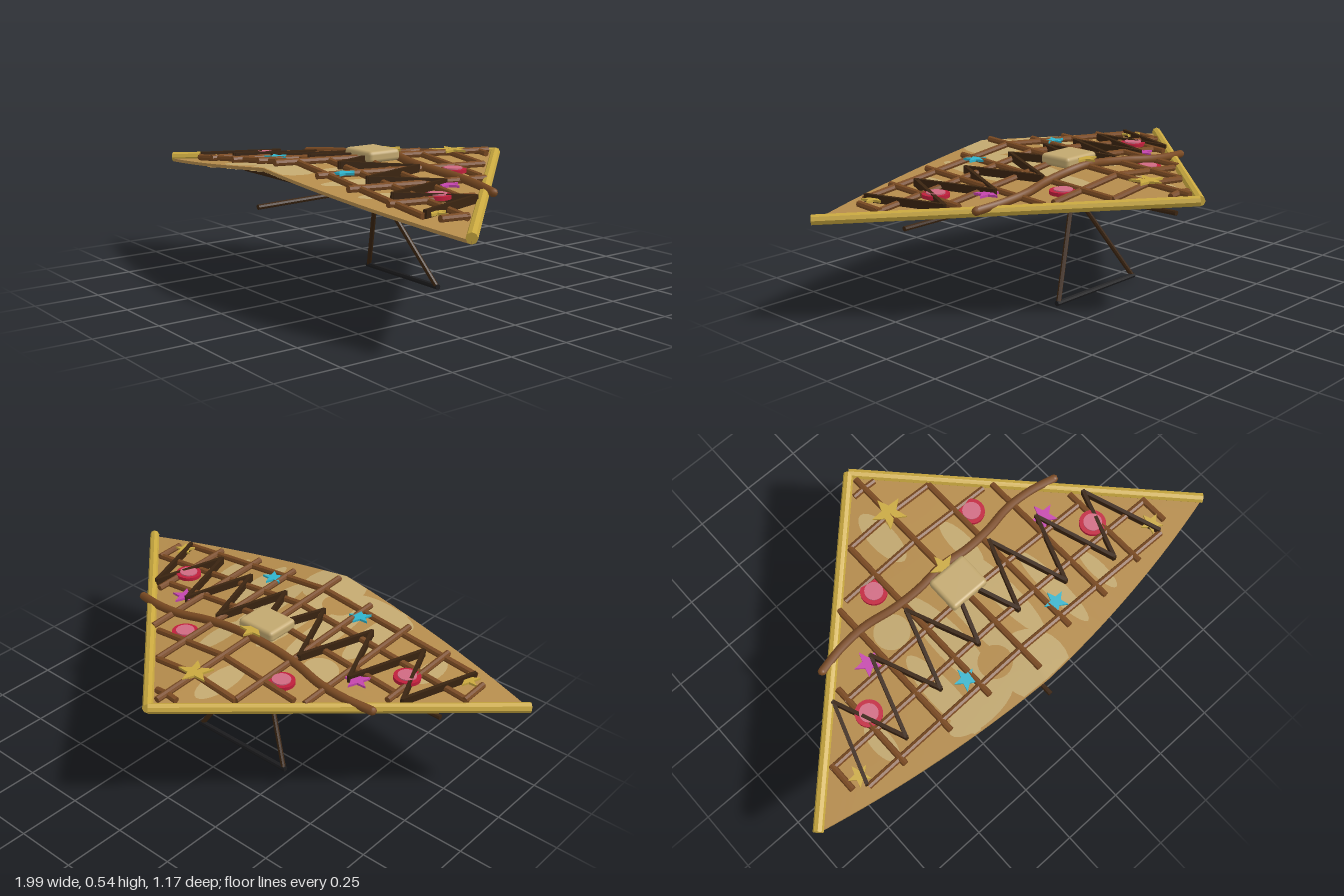
import * as THREE from 'three';
import { toCreasedNormals } from 'three/addons/utils/BufferGeometryUtils.js';
import { RoundedBoxGeometry } from 'three/addons/geometries/RoundedBoxGeometry.js';

const paint = (name, color, extra = {}) => {
  const m = new THREE.MeshStandardMaterial({ color, ...extra });
  m.name = name;
  return m;
};

// Sail outline: nose, and trailing edge from centre (t = 0) to tip (t = 1)
const NOSE_Z = -0.57, NOSE_Y = 0.46, SPAN = 0.98;
const edgeZ = t => 0.56 - 0.05 * t - 0.1 * t * t;
const sailPoint = (t, s) => {
  const a = Math.abs(t);
  return new THREE.Vector3(SPAN * t * s, NOSE_Y + s * (0.055 - 0.11 * a), NOSE_Z + s * (edgeZ(a) - NOSE_Z));
};
// Height of the sail above any x, z
function sailY(x, z) {
  let t = 0;
  const slope = Math.abs(x) / Math.max(z - NOSE_Z, 0.001);
  for (let i = 0; i < 12; i++) t = Math.min(1, slope * (edgeZ(t) - NOSE_Z) / SPAN);
  const s = (z - NOSE_Z) / (edgeZ(t) - NOSE_Z);
  return NOSE_Y + 0.055 * s - 0.11 * Math.abs(x) / SPAN;
}
const onSail = (x, z, lift) => new THREE.Vector3(x, sailY(x, z) + lift, z);

export function createModel() {
  const cloth = paint('tan cloth', 0xb58c4c, { side: THREE.DoubleSide });
  const pale = paint('pale cloth', 0xc2a86f, { side: THREE.DoubleSide });
  const gold = paint('gold', 0xc9a83f);
  const wood = paint('brown wood', 0x7a4a22);
  const dark = paint('dark wood', 0x3a2410);
  const black = paint('black grip', 0x1c1c1e);
  const red = paint('red', 0xc01f3c);
  const pink = paint('pink', 0xcf6a82);
  const cyan = paint('cyan', 0x2fb4cc);
  const magenta = paint('magenta', 0xc445ac);

  const model = new THREE.Group();
  model.name = 'glider';
  const add = (name, geometry, material, parent = model) => {
    const mesh = new THREE.Mesh(geometry, material);
    mesh.name = name;
    parent.add(mesh);
    return mesh;
  };
  const group = name => {
    const g = new THREE.Group();
    g.name = name;
    model.add(g);
    return g;
  };
  const V = (x, y, z) => new THREE.Vector3(x, y, z);
  const rod = (name, a, b, r, material, parent, sides = 8) => {
    const geo = toCreasedNormals(new THREE.CylinderGeometry(r, r, a.distanceTo(b), sides), 0.6);
    const mesh = add(name, geo, material, parent);
    mesh.position.copy(a).add(b).multiplyScalar(0.5);
    mesh.quaternion.setFromUnitVectors(V(0, 1, 0), b.clone().sub(a).normalize());
  };

  // Sail: top skin, trailing lip and bottom skin in one grid
  const COLS = 32, ROWS = 10, pos = [], idx = [];
  for (let c = 0; c <= COLS; c++) {
    for (let r = 0; r < 2 * ROWS + 2; r++) {
      const top = r <= ROWS;
      const p = sailPoint(c / COLS * 2 - 1, (top ? r : 2 * ROWS + 1 - r) / ROWS);
      pos.push(p.x, p.y - (top ? 0 : 0.012), p.z);
    }
  }
  const N = 2 * ROWS + 2;
  for (let c = 0; c < COLS; c++) {
    for (let r = 0; r < N - 1; r++) {
      const a = c * N + r;
      idx.push(a, a + 1, a + N, a + 1, a + N + 1, a + N);
    }
  }
  const sailGeo = new THREE.BufferGeometry();
  sailGeo.setAttribute('position', new THREE.Float32BufferAttribute(pos, 3));
  sailGeo.setIndex(idx);
  add('sail', toCreasedNormals(sailGeo, 0.5), cloth);

  // Stains and patches draped on both skins, kept inside the trailing edge
  const patches = group('patches');
  const patch = (cx, cz, rx, rz, material, lift) => {
    for (const y of [lift, -0.012 - lift]) {
      const geo = new THREE.RingGeometry(0.001, 1, 24, 4);
      const p = geo.attributes.position;
      for (let i = 0; i < p.count; i++) {
        const x = cx + p.getX(i) * rx;
        const z = Math.min(cz - p.getY(i) * rz, edgeZ(Math.abs(x) / SPAN) - 0.004);
        p.setXYZ(i, x, sailY(x, z) + y, z);
      }
      geo.computeVertexNormals();
      add('patch', geo, material, patches);
    }
  };
  [[0, 0.48, 0.13, 0.14], [-0.32, 0.34, 0.05, 0.2], [-0.17, 0.22, 0.06, 0.25], [-0.04, 0.2, 0.04, 0.24],
    [0.11, 0.2, 0.05, 0.22], [0.27, 0.3, 0.04, 0.19], [0.45, 0.36, 0.03, 0.1], [-0.25, 0.47, 0.15, 0.06],
    [-0.3, 0.03, 0.07, 0.07], [-0.08, -0.28, 0.05, 0.13], [0.13, -0.06, 0.04, 0.12], [-0.6, 0.32, 0.04, 0.09]]
    .forEach(([x, z, a, b]) => patch(x, z, a, b, pale, 0.002));
  [[0.05, -0.21, 0.065, 0.065], [-0.5, 0.43, 0.07, 0.07], [-0.1, 0.38, 0.065, 0.065]]
    .forEach(([x, z, a, b]) => patch(x, z, a, b, cloth, 0.004));

  // Leading edge poles
  for (const s of [1, -1]) {
    rod('leadingEdgePole', V(0, 0.463, -0.575), V(s * 0.98, 0.413, 0.41), 0.02, gold, model, 8);
  }

  // Cross battens run down from the ridge on both sides
  const battens = group('battens');
  const R = 0.013;
  [[0.41, 0.74], [0.27, 0.8], [0.115, 0.6], [-0.18, 0.35], [-0.33, 0.2], [-0.48, 0.05]].forEach(([z, x]) => {
    for (const s of [1, -1]) rod('crossBatten', onSail(0, z, R), onSail(s * x, z, R), R, wood, battens);
  });
  // Long battens
  rod('ridgeBatten', onSail(0, -0.53, 0.016), onSail(0, 0.51, 0.016), R, wood, battens);
  [[0.2, -0.33, 0.46], [0.39, -0.17, 0.46], [0.59, 0.06, 0.44], [0.79, 0.26, 0.38]].forEach(([x, z0, z1]) => {
    for (const s of [1, -1]) rod('longBatten', onSail(s * x, z0, 0.016), onSail(s * x, z1, 0.016), R, wood, battens);
  });

  // Bent branch across the middle
  const half = [[0.59, -0.03], [0.48, -0.05], [0.36, -0.052], [0.24, -0.03], [0.12, -0.022]];
  const bend = [...half.map(([x, z]) => [-x, z]), [0, -0.03], ...half.slice().reverse()];
  const branch = new THREE.CatmullRomCurve3(bend.map(([x, z]) => onSail(x, z, 0.022)));
  add('bentBranch', new THREE.TubeGeometry(branch, 48, 0.017, 8), wood);
  for (const s of [1, -1]) {
    const end = add('branchEnd', new THREE.SphereGeometry(0.017, 8, 6), wood);
    end.position.copy(onSail(s * 0.59, -0.03, 0.022));
  }

  // Zigzag lacing, standing on edge
  const lacing = group('lacing');
  const zig = [[0, 0.02], [0.1, 0.29], [0.21, 0.01], [0.315, 0.32], [0.42, 0.05], [0.525, 0.37], [0.635, 0.09], [0.74, 0.4]];
  for (const s of [1, -1]) {
    for (let i = 1; i < zig.length; i++) {
      const a = onSail(s * zig[i - 1][0], zig[i - 1][1], 0.02);
      const b = onSail(s * zig[i][0], zig[i][1], 0.02);
      const lace = add('lace', new THREE.BoxGeometry(0.014, 0.03, a.distanceTo(b) + 0.01), dark, lacing);
      lace.position.copy(a).add(b).multiplyScalar(0.5);
      lace.lookAt(b);
    }
  }

  // Padded block over the ridge
  add('paddedBlock', new RoundedBoxGeometry(0.17, 0.045, 0.145, 2, 0.015), pale).position.set(0, 0.52, 0.066);

  // Star and disc ornaments
  const ornaments = group('ornaments');
  const star = (x, y, z, r, material) => {
    const shape = new THREE.Shape();
    for (let i = 0; i < 10; i++) {
      const a = Math.PI / 2 + i * Math.PI / 5, q = i % 2 ? r * 0.42 : r;
      shape[i ? 'lineTo' : 'moveTo'](q * Math.cos(a), q * Math.sin(a));
    }
    const geo = new THREE.ExtrudeGeometry(shape, { depth: 0.009, bevelEnabled: false });
    geo.rotateX(-Math.PI / 2);
    add('star', geo, material, ornaments).position.set(x, y, z);
  };
  star(0, 0.492, -0.33, 0.07, gold);
  star(0, 0.525, -0.015, 0.055, gold);
  for (const s of [1, -1]) {
    star(s * 0.74, 0.443, 0.36, 0.045, gold);
    star(s * 0.225, 0.502, 0.36, 0.047, cyan);
    star(s * 0.445, 0.458, 0.065, 0.055, magenta);
    for (const [x, y, z] of [[0.248, 0.468, -0.133], [0.567, 0.458, 0.21]]) {
      add('disc', new THREE.CylinderGeometry(0.052, 0.052, 0.014, 24), red, ornaments).position.set(s * x, y, z);
      add('discCentre', new THREE.CylinderGeometry(0.036, 0.036, 0.006, 24), pink, ornaments).position.set(s * x, y + 0.009, z);
    }
  }

  // Underframe: keel, crossbar and hanging control triangle
  rod('keel', V(0, 0.373, 0.585), V(0, 0.397, -0.47), 0.01, dark);
  rod('crossbar', V(-0.74, 0.37, 0.19), V(0.74, 0.37, 0.19), 0.01, dark);
  for (const s of [1, -1]) rod('controlStrut', V(0, 0.39, 0.045), V(s * 0.22, 0.012, -0.08), 0.01, dark);
  rod('controlGrip', V(-0.23, 0.011, -0.08), V(0.23, 0.011, -0.08), 0.011, black);

  return model;
}
